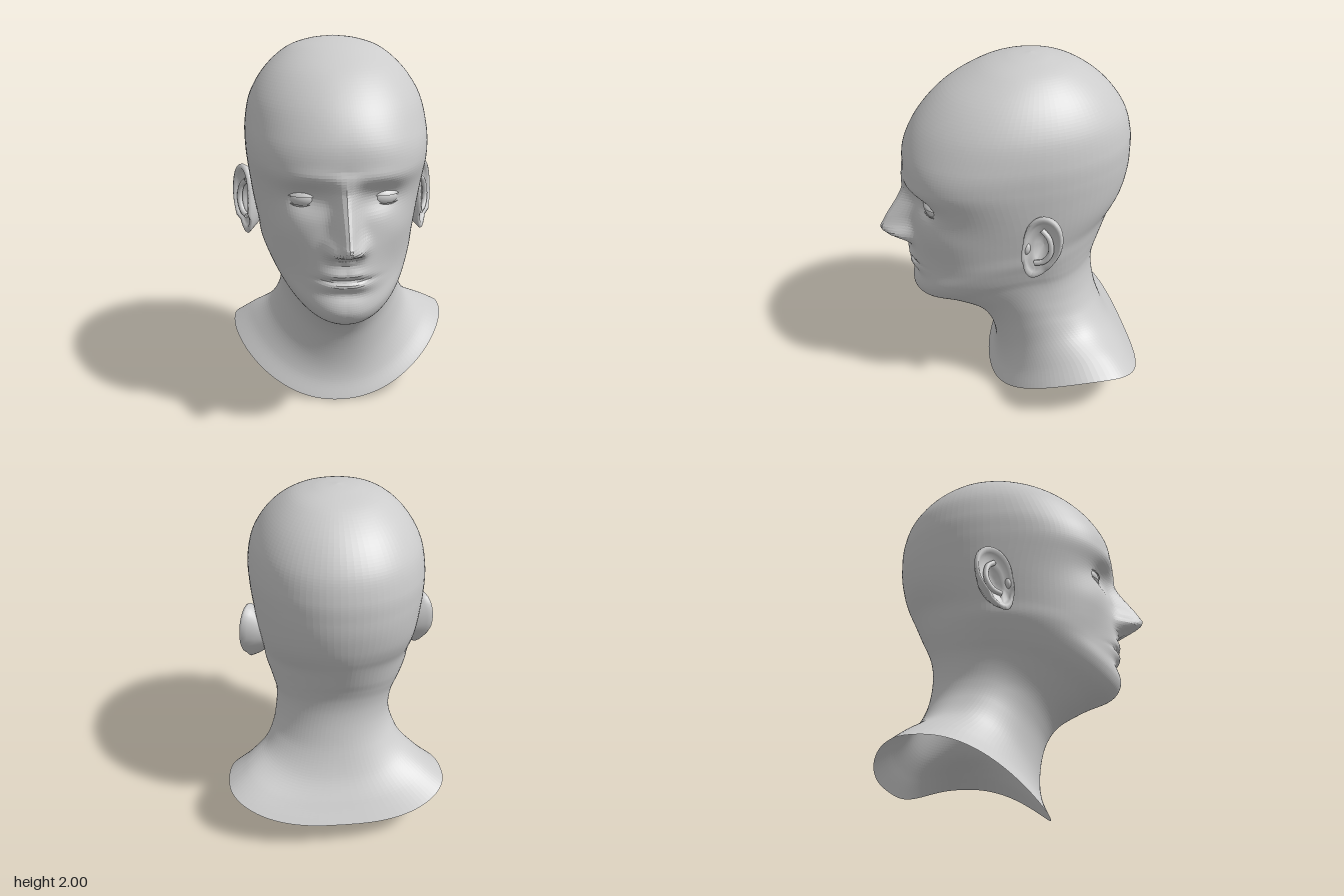
import * as THREE from 'three';

const skinMat = new THREE.MeshStandardMaterial({ color: 0xcccccc, flatShading: true, side: THREE.DoubleSide });
const smoothMat = new THREE.MeshStandardMaterial({ color: 0xcccccc, side: THREE.DoubleSide });

// Tilted cross-sections from collar to crown:
// [front y, front z, back y, back z, side y, half width, z of widest point]
const RINGS = [
  [0.00, 0.35, 0.17, -0.515, 0.30, 0.64, -0.22],
  [0.10, 0.31, 0.27, -0.45, 0.375, 0.53, -0.18],
  [0.20, 0.30, 0.40, -0.37, 0.46, 0.415, -0.09],
  [0.32, 0.315, 0.54, -0.315, 0.56, 0.358, -0.02],
  [0.42, 0.35, 0.67, -0.285, 0.65, 0.337, 0.02],
  [0.505, 0.42, 0.78, -0.275, 0.73, 0.335, 0.04],
  [0.58, 0.56, 0.87, -0.285, 0.80, 0.345, 0.06],
  [0.635, 0.70, 0.945, -0.31, 0.86, 0.368, 0.08],
  [0.70, 0.75, 1.01, -0.34, 0.92, 0.39, 0.09],
  [0.80, 0.75, 1.08, -0.37, 0.98, 0.41, 0.10],
  [0.90, 0.76, 1.15, -0.40, 1.05, 0.42, 0.10],
  [1.02, 0.755, 1.21, -0.427, 1.13, 0.435, 0.10],
  [1.15, 0.74, 1.28, -0.45, 1.22, 0.45, 0.11],
  [1.29, 0.735, 1.38, -0.47, 1.34, 0.465, 0.12],
  [1.41, 0.755, 1.47, -0.475, 1.45, 0.475, 0.12],
  [1.55, 0.74, 1.58, -0.47, 1.57, 0.475, 0.12],
  [1.70, 0.66, 1.71, -0.43, 1.71, 0.445, 0.11],
  [1.84, 0.52, 1.84, -0.33, 1.84, 0.365, 0.09],
  [1.94, 0.34, 1.94, -0.19, 1.94, 0.25, 0.07],
  [1.985, 0.19, 1.985, -0.05, 1.985, 0.125, 0.06],
  [2.00, 0.06, 2.00, 0.06, 2.00, 0.0, 0.06],
];

// Soft face forms: [side distance, y, side spread, y spread, forward amount]
const FORMS = [
  [0.18, 1.285, 0.08, 0.05, -0.046],   // eye sockets
  [0.16, 1.385, 0.10, 0.03, 0.012],    // brows
  [0.27, 1.13, 0.08, 0.06, 0.015],     // cheekbones
  [0.24, 0.92, 0.07, 0.07, -0.018],    // cheek hollows
  [0.066, 1.05, 0.026, 0.028, 0.05],   // nostril wings
  [0.034, 1.015, 0.014, 0.014, -0.012],// nostrils
  [0.04, 0.918, 0.05, 0.019, 0.013],   // upper lip
  [0.03, 0.853, 0.055, 0.02, 0.015],   // lower lip
  [0.05, 0.886, 0.06, 0.010, -0.016],  // mouth line
  [0.00, 0.812, 0.08, 0.024, -0.016],  // dip under the lip
  [0.03, 0.72, 0.07, 0.04, 0.008],     // chin
];

// Nose ridge: [y, forward amount, half width]
const NOSE = [
  [0.965, 0, 0.045], [0.995, 0.015, 0.045], [1.025, 0.075, 0.046], [1.055, 0.145, 0.045], [1.085, 0.165, 0.043],
  [1.15, 0.135, 0.037], [1.25, 0.075, 0.034], [1.32, 0.035, 0.037], [1.42, 0, 0.05],
];

const bell = (d, s) => Math.exp(-(d * d) / (2 * s * s));
const spow = (n, e) => Math.sign(n) * Math.pow(Math.abs(n), e);
const { lerp, smoothstep } = THREE.MathUtils;

function noseAt(x, y) {
  for (let i = 1; i < NOSE.length; i++) {
    const a = NOSE[i - 1], b = NOSE[i];
    if (y < a[0] || y > b[0]) continue;
    const k = (y - a[0]) / (b[0] - a[0]);
    return lerp(a[1], b[1], k) * bell(x, lerp(a[2], b[2], k));
  }
  return 0;
}

function faceForward(x, y) {
  let d = noseAt(x, y);
  for (const [fx, fy, sx, sy, amount] of FORMS) d += amount * bell(Math.abs(x) - fx, sx) * bell(y - fy, sy);
  return d;
}

const TURN = 0.045, SHIFT = -0.038; // the head turns slightly on the neck

function buildSkin() {
  const curve = pick => new THREE.CatmullRomCurve3(RINGS.map(r => new THREE.Vector3(...pick(r))), false, 'catmullrom', 0.5);
  const front = curve(r => [0, r[0], r[1]]);
  const back = curve(r => [0, r[2], r[3]]);
  const side = curve(r => [r[5], r[4], r[6]]);
  const rows = (RINGS.length - 1) * 9, cols = 128;
  const pos = [], index = [];
  for (let i = 0; i <= rows; i++) {
    const f = front.getPoint(i / rows), b = back.getPoint(i / rows), s = side.getPoint(i / rows);
    const collar = 1 - smoothstep(i / rows, 0, 0.2);
    // squarer across the shoulders, narrower under the skull
    const backPower = lerp(0.95, 0.74, collar) + 0.16 * bell(s.y - 1.02, 0.1);
    const frontPower = 0.95 - 0.15 * bell(f.y - 1.4, 0.12); // broader across the brow
    for (let j = 0; j < cols; j++) {
      const a = (j / cols) * Math.PI * 2;
      const t = a - 0.45 * Math.sin(a); // finer columns on the face
      const c = Math.cos(t), end = c > 0 ? f : b;
      const power = c > 0 ? frontPower : backPower;
      let x = Math.max(s.x, 0) * spow(Math.sin(t), power);
      let y = s.y + (end.y - s.y) * c * c;
      let z = s.z + (end.z - s.z) * Math.pow(Math.abs(c), power);
      if (c > 0) z += faceForward(x, y) * smoothstep(z, 0.3, 0.55);
      const turn = smoothstep(y, 0.6, 1.0);
      [x, z] = [x + (TURN * z + SHIFT) * turn, z - TURN * x * turn];
      y += 0.04 * x * collar; // left shoulder sits a little higher
      pos.push(x, y, z);
      if (i < rows) {
        const p = i * cols + j, q = i * cols + (j + 1) % cols;
        index.push(p, q, q + cols, p, q + cols, p + cols);
      }
    }
  }
  const geo = new THREE.BufferGeometry();
  geo.setAttribute('position', new THREE.Float32BufferAttribute(pos, 3));
  geo.setIndex(index);
  geo.computeVertexNormals();
  const mesh = new THREE.Mesh(geo, skinMat);
  mesh.name = 'headAndNeckSkin';
  return mesh;
}

function add(parent, name, geo) {
  const mesh = new THREE.Mesh(geo, smoothMat);
  mesh.name = name;
  parent.add(mesh);
  return mesh;
}

function buildEye(sign) {
  const eye = new THREE.Group();
  eye.name = sign > 0 ? 'leftEye' : 'rightEye';
  add(eye, 'eyeball', new THREE.SphereGeometry(0.078, 32, 20));
  add(eye, 'upperLid', new THREE.SphereGeometry(0.086, 32, 10, 0, Math.PI * 2, 0.4, 0.87));
  add(eye, 'lowerLid', new THREE.SphereGeometry(0.084, 32, 10, 0, Math.PI * 2, 1.88, 0.7));
  eye.scale.set(1.2, 0.72, 1);
  eye.position.set(sign * 0.182, 1.272, 0.594);
  eye.rotation.set(0.05, sign * 0.22, 0);
  return eye;
}

// Ear built facing +z in its own frame: +x is toward the back of the head
function buildEar(sign) {
  const ear = new THREE.Group();
  ear.name = sign > 0 ? 'leftEar' : 'rightEar';
  const profile = [[0.45, -0.09], [0.75, -0.04], [0.93, 0.0], [1.0, 0.025], [0.97, 0.04], [0.88, 0.043],
    [0.8, 0.03], [0.72, 0.012], [0.55, 0.012], [0.42, -0.004], [0.25, -0.025], [0, -0.03]];
  const shell = new THREE.LatheGeometry(profile.map(([r, h]) => new THREE.Vector2(r, h)), 36);
  shell.rotateX(Math.PI / 2);
  const p = shell.attributes.position;
  for (let i = 0; i < p.count; i++) {
    const x = p.getX(i), y = p.getY(i), z = p.getZ(i);
    const width = 0.1 + 0.022 * y;                         // wide top, narrow lobe
    const fill = y < -0.55 ? 0.6 : 1;                      // flatter lobe
    p.setXYZ(i, x * width - 0.025 * Math.max(0, -y), y * 0.19, z > 0 ? z * fill : z);
  }
  shell.computeVertexNormals();
  add(ear, 'earShell', shell);
  const ridge = new THREE.CatmullRomCurve3([[-0.02, 0.1, 0.012], [0.025, 0.07, 0.022], [0.05, 0, 0.024],
    [0.025, -0.07, 0.02], [-0.02, -0.095, 0.016]].map(v => new THREE.Vector3(...v)));
  add(ear, 'innerRidge', new THREE.TubeGeometry(ridge, 20, 0.015, 8));
  const tragus = add(ear, 'tragus', new THREE.SphereGeometry(0.024, 12, 10));
  tragus.scale.set(0.8, 1.4, 0.9);
  tragus.position.set(-0.076, -0.03, 0.012);

  // Turn outward with the back edge standing off the head, lobe leaning forward
  const mount = new THREE.Group();
  mount.name = sign > 0 ? 'leftEarMount' : 'rightEarMount';
  ear.rotation.set(0, Math.PI / 2 - 0.48, 0);
  const lean = new THREE.Group();
  lean.name = 'earLean';
  lean.rotation.x = -0.2;
  lean.add(ear);
  mount.add(lean);
  mount.scale.x = sign;
  mount.position.set(sign * 0.475, 1.135, 0.11);
  return mount;
}

export function createModel() {
  const model = new THREE.Group();
  model.name = 'headBust';
  const bust = new THREE.Group();
  bust.name = 'bust';
  bust.rotation.y = Math.PI / 4;
  bust.add(buildSkin());

  const features = new THREE.Group();
  features.name = 'headFeatures';
  features.rotation.y = TURN;
  features.position.x = SHIFT;
  for (const sign of [1, -1]) features.add(buildEye(sign), buildEar(sign));
  bust.add(features);
  model.add(bust);
  return model;
}
